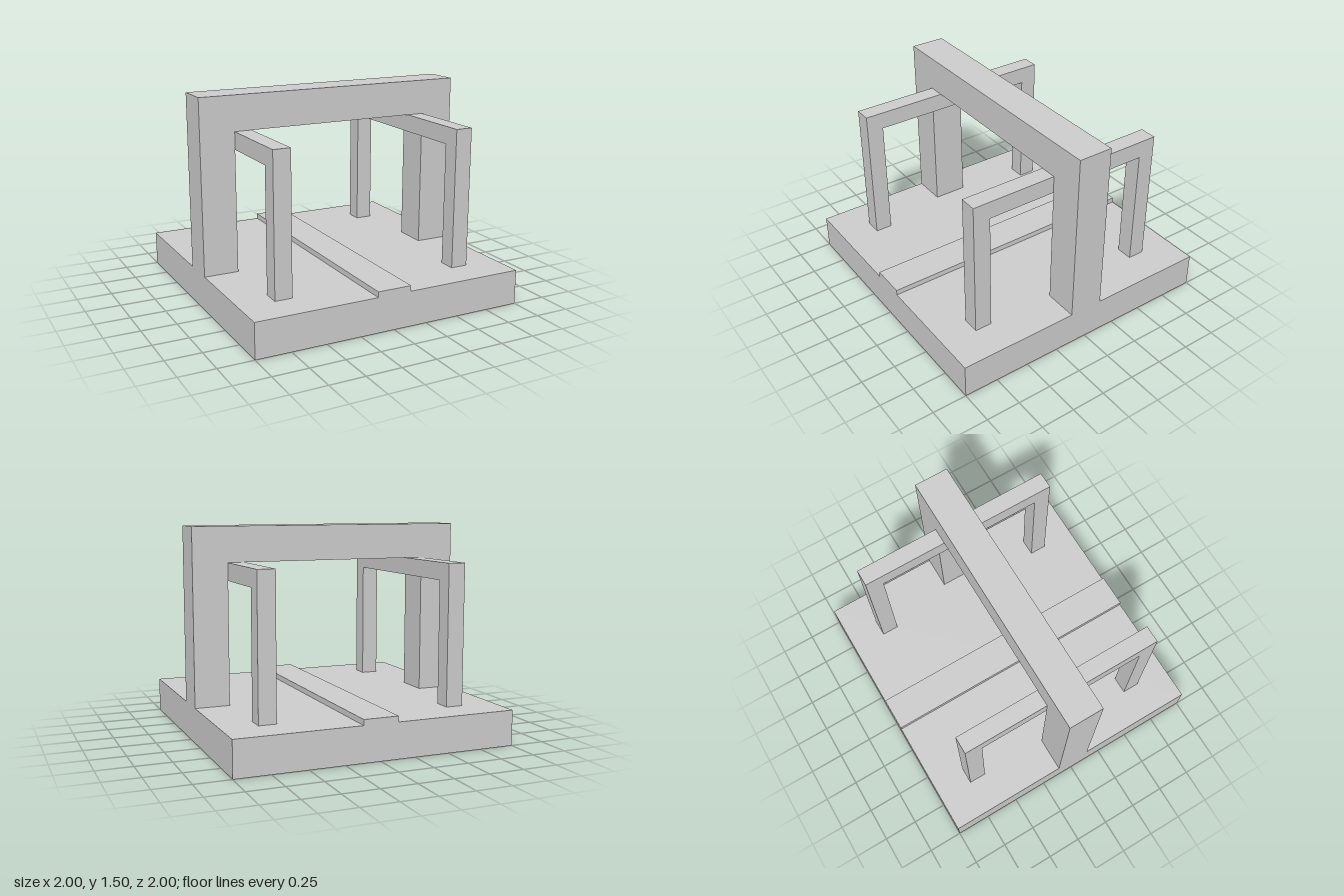
import * as THREE from 'three';

const material = new THREE.MeshStandardMaterial({ color: 0xcccccc, flatShading: true });

function addMesh(parent, name, geometry, x = 0, y = 0, z = 0) {
  const mesh = new THREE.Mesh(geometry, material);
  mesh.name = name;
  mesh.position.set(x, y, z);
  parent.add(mesh);
  return mesh;
}

// Square-cornered portal outline standing on y = 0, extruded and centred on its depth
function portalGeometry(halfWidth, height, thickness, depth) {
  const inner = halfWidth - thickness;
  const shape = new THREE.Shape([
    [-halfWidth, 0], [-inner, 0], [-inner, height - thickness], [inner, height - thickness],
    [inner, 0], [halfWidth, 0], [halfWidth, height], [-halfWidth, height],
  ].map(([x, y]) => new THREE.Vector2(x, y)));
  return new THREE.ExtrudeGeometry(shape, { depth, bevelEnabled: false }).translate(0, 0, -depth / 2);
}

export function createModel() {
  const model = new THREE.Group();
  model.name = 'gateway';
  const baseTop = 0.25;

  // Square slab
  addMesh(model, 'base', new THREE.BoxGeometry(2, baseTop, 2), 0, baseTop / 2, 0);

  // Low raised strip running front to back
  addMesh(model, 'centreStrip', new THREE.BoxGeometry(0.25, 0.04, 2), 0, baseTop + 0.02, 0);

  // Large arch spanning the full width
  addMesh(model, 'mainArch', portalGeometry(1, 1.25, 0.25, 0.25), 0, baseTop, 0);

  // Slim side frames running front to back, against the inside of the arch
  for (const side of [-1, 1]) {
    const name = side > 0 ? 'leftSideFrame' : 'rightSideFrame';
    const frame = addMesh(model, name, portalGeometry(0.75, 1, 0.125, 0.125), side * 0.6875, baseTop, 0);
    frame.rotation.y = Math.PI / 2;
  }

  return model;
}
